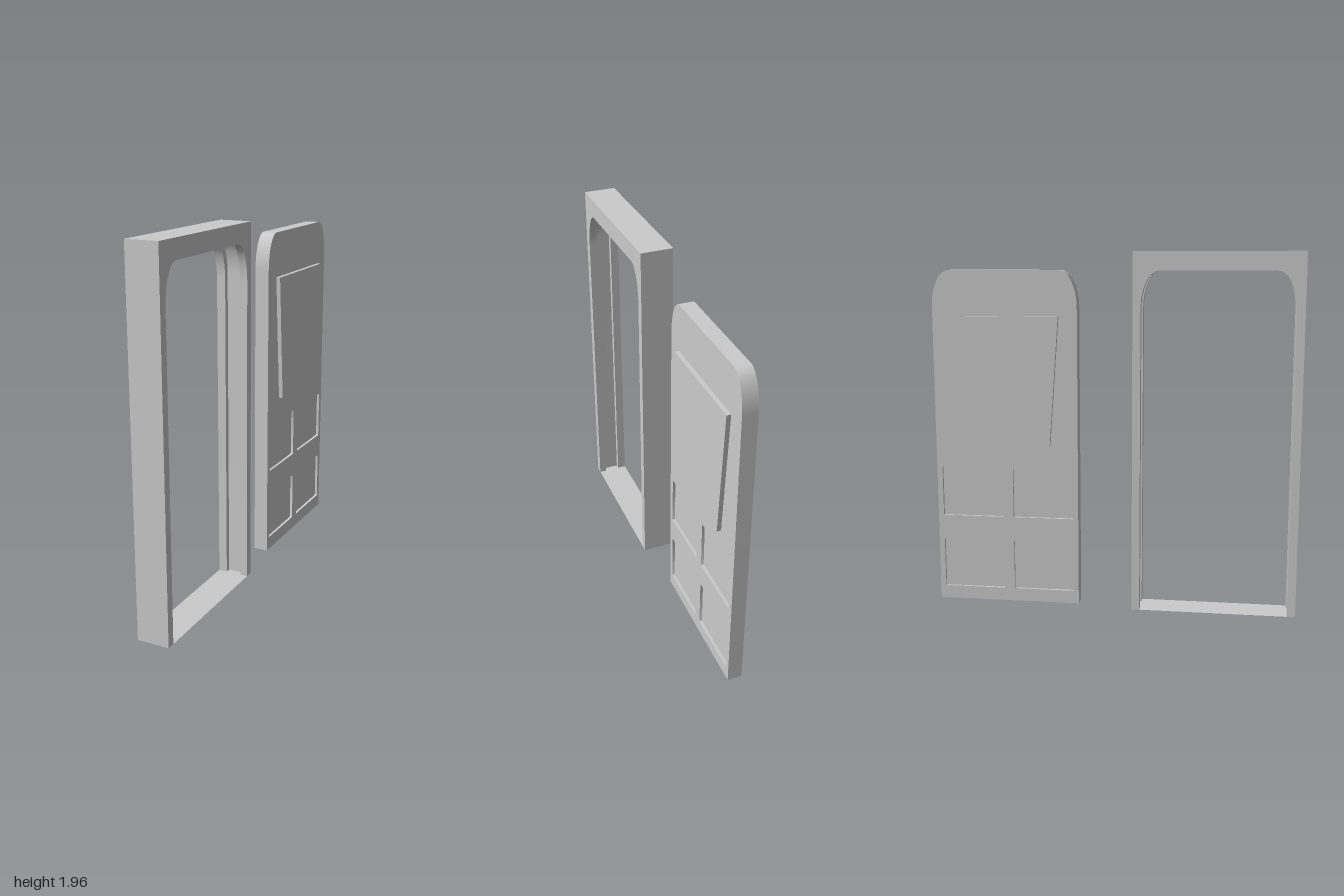
import * as THREE from 'three';
import { toCreasedNormals } from 'three/addons/utils/BufferGeometryUtils.js';

const material = new THREE.MeshStandardMaterial({ color: 0xcccccc, side: THREE.DoubleSide });

// Outline in (z, y): straight sides with elliptical upper corners.
function arch(path, z0, z1, top, rx, ry) {
  path.moveTo(z0, 0);
  path.lineTo(z1, 0);
  path.lineTo(z1, top - ry);
  path.absellipse(z1 - rx, top - ry, rx, ry, 0, Math.PI / 2);
  path.lineTo(z0 + rx, top);
  path.absellipse(z0 + rx, top - ry, rx, ry, Math.PI / 2, Math.PI);
  path.lineTo(z0, 0);
  return path;
}

// Rectangle in (z, y) with slightly eased corners.
function panelOutline(path, z0, z1, y0, y1, r = 0.006) {
  path.moveTo(z0 + r, y0);
  path.lineTo(z1 - r, y0);
  path.quadraticCurveTo(z1, y0, z1, y0 + r);
  path.lineTo(z1, y1 - r);
  path.quadraticCurveTo(z1, y1, z1 - r, y1);
  path.lineTo(z0 + r, y1);
  path.quadraticCurveTo(z0, y1, z0, y1 - r);
  path.lineTo(z0, y0 + r);
  path.quadraticCurveTo(z0, y0, z0 + r, y0);
  return path;
}

// Drops the triangles lying on the ground, leaving the underside open.
function openBottom(geometry) {
  const p = geometry.attributes.position;
  const kept = [];
  for (let i = 0; i < p.count; i += 3) {
    if (Math.max(p.getY(i), p.getY(i + 1), p.getY(i + 2)) < 1e-5) continue;
    for (let k = i; k < i + 3; k++) kept.push(p.getX(k), p.getY(k), p.getZ(k));
  }
  const out = new THREE.BufferGeometry();
  out.setAttribute('position', new THREE.Float32BufferAttribute(kept, 3));
  return out;
}

// Extrudes a (z, y) shape across x from x0 to x1.
function slab(name, shape, x0, x1) {
  let geometry = new THREE.ExtrudeGeometry(shape, { depth: x1 - x0, bevelEnabled: false, curveSegments: 10 });
  geometry.rotateY(-Math.PI / 2).translate(x1, 0, 0);
  geometry = toCreasedNormals(openBottom(geometry), 0.6);
  const mesh = new THREE.Mesh(geometry, material);
  mesh.name = name;
  return mesh;
}

// One layer of the frame; grow widens the opening to form the groove.
function frameShape(grow) {
  const z0 = 0.148 - grow, z1 = 0.955 + grow, top = 1.857 + grow;
  const s = new THREE.Shape();
  s.moveTo(0.105, 0);
  s.lineTo(z0, 0);
  s.lineTo(z0, top - 0.2);
  s.absellipse(z0 + 0.1, top - 0.2, 0.1, 0.2, Math.PI, Math.PI / 2, true);
  s.lineTo(z1 - 0.1, top);
  s.absellipse(z1 - 0.1, top - 0.2, 0.1, 0.2, Math.PI / 2, 0, true);
  s.lineTo(z1, 0);
  s.lineTo(1, 0);
  s.lineTo(1, 1.957);
  s.lineTo(0.105, 1.957);
  s.lineTo(0.105, 0);
  return s;
}

export function createModel() {
  const model = new THREE.Group();
  model.name = 'doorAndFrame';

  // Frame: two lips with a recessed groove between them
  const frame = new THREE.Group();
  frame.name = 'doorFrame';
  frame.add(
    slab('frameLipLeft', frameShape(0), 0.046, 0.0875),
    slab('frameGroove', frameShape(0.028), -0.04, 0.046),
    slab('frameLipRight', frameShape(0), -0.0875, -0.04)
  );

  // Thin threshold, following the groove
  for (const [x0, x1, grow] of [[0.046, 0.0875, 0], [-0.04, 0.046, 0.028], [-0.0875, -0.04, 0]]) {
    const sill = new THREE.Mesh(new THREE.PlaneGeometry(x1 - x0, 0.807 + 2 * grow), material);
    sill.rotation.x = -Math.PI / 2;
    sill.position.set((x0 + x1) / 2, 0, 0.5515);
    sill.name = 'threshold';
    frame.add(sill);
  }
  model.add(frame);

  // Door leaf with four openings that hold sunken panels
  const door = new THREE.Group();
  door.name = 'door';
  const leaf = arch(new THREE.Shape(), -1, -0.2, 1.857, 0.1, 0.2);
  for (const [z0, z1] of [[-0.567, -0.23], [-0.97, -0.625]]) {
    for (const [y0, y1] of [[0.073, 0.353], [0.49, 0.768]]) {
      leaf.holes.push(panelOutline(new THREE.Path(), z0, z1, y0, y1));
      door.add(slab('sunkenPanel', panelOutline(new THREE.Shape(), z0, z1, y0, y1), -0.02, 0.03));
    }
  }
  door.add(slab('doorLeaf', leaf, -0.035, 0.045));

  // Raised tapered window, standing proud on both faces
  const pane = new THREE.Shape([[-0.845, 0.903], [-0.352, 0.903], [-0.3, 1.61], [-0.897, 1.61]]
    .map(([z, y]) => new THREE.Vector2(z, y)));
  door.add(slab('windowPane', pane, -0.058, 0.068));
  model.add(door);

  return model;
}
